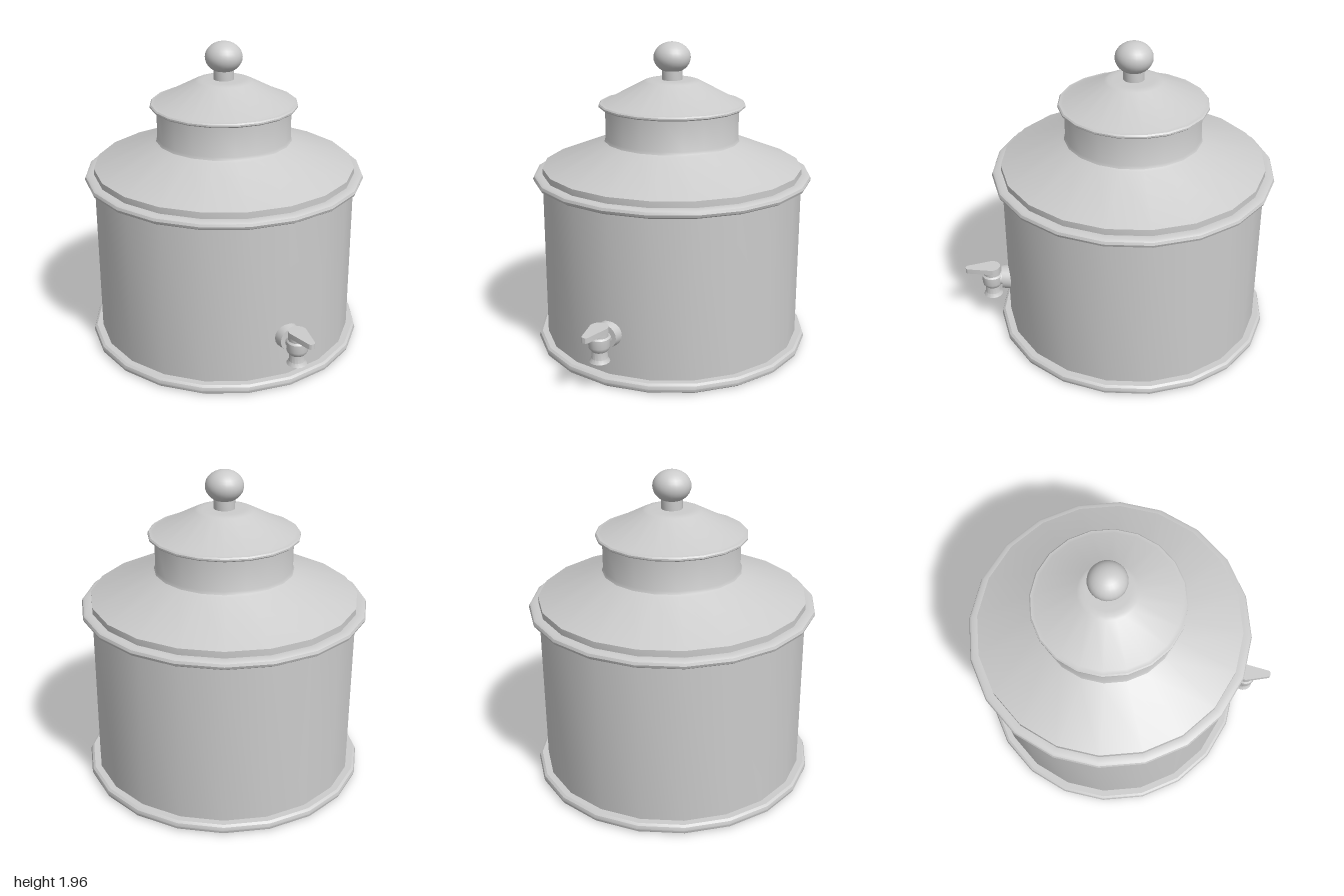
import * as THREE from 'three';
import { toCreasedNormals } from 'three/addons/utils/BufferGeometryUtils.js';

const CENTRE_Z = -0.11;
const TAP_Z = 0.83;

export function createModel() {
  const model = new THREE.Group();
  model.name = 'drinkDispenser';
  const material = new THREE.MeshStandardMaterial({ color: 0xcccccc });

  const add = (name, geometry, x, y, z) => {
    const mesh = new THREE.Mesh(geometry, material);
    mesh.name = name;
    mesh.position.set(x, y, z);
    model.add(mesh);
    return mesh;
  };

  // Turned part from [radius, height] pairs, with sharp profile edges
  const turned = (name, profile, sides, z) => {
    const points = profile.map(([r, y]) => new THREE.Vector2(r, y));
    return add(name, toCreasedNormals(new THREE.LatheGeometry(points, sides), 0.6), 0, 0, z);
  };

  // Rounded band around the body
  const band = (y0, y1) => {
    const h = y1 - y0;
    return [[0.87, y0], [0.884, y0 + h * 0.18], [0.89, y0 + h * 0.5], [0.884, y0 + h * 0.82], [0.87, y1]];
  };

  // Body, shoulder and neck
  turned('body', [
    [0, 0], ...band(0, 0.06),
    [0.83, 0.06], [0.83, 1.09], ...band(1.09, 1.14),
    [0.83, 1.14], [0.83, 1.18],
    [0.45, 1.332], [0.433, 1.342], [0.425, 1.36], [0.425, 1.56],
  ], 20, CENTRE_Z);

  // Lid with a thin rim and a short knob stem
  turned('lid', [
    [0, 1.555], [0.458, 1.555], [0.466, 1.562], [0.466, 1.572], [0.458, 1.58], [0.435, 1.582],
    [0.18, 1.716], [0.16, 1.723], [0.13, 1.725], [0.065, 1.725], [0.065, 1.785],
  ], 20, CENTRE_Z);

  // Knob
  const knob = add('knob', new THREE.SphereGeometry(0.117, 24, 16), 0, 1.864, CENTRE_Z);
  knob.scale.y = 0.83;

  // Tap flange and the pipe behind the spout
  const flange = new THREE.CylinderGeometry(0.075, 0.083, 0.065, 20).rotateX(Math.PI / 2);
  add('tapFlange', toCreasedNormals(flange, 0.6), 0, 0.328, 0.7325);
  const pipe = new THREE.CylinderGeometry(0.045, 0.045, 0.11, 16).rotateX(Math.PI / 2);
  add('tapPipe', toCreasedNormals(pipe, 0.6), 0, 0.32, 0.775);

  // Spout, hollow at the outlet
  turned('tapSpout', [
    [0, 0.25], [0.04, 0.25], [0.045, 0.2], [0.063, 0.2], [0.05, 0.222], [0.048, 0.268],
    [0.062, 0.285], [0.066, 0.3], [0.066, 0.352], [0.056, 0.362], [0.056, 0.388], [0, 0.388],
  ], 16, TAP_Z);

  // Lever: round head tapering to a narrow tip
  const outline = new THREE.Shape();
  outline.moveTo(0.055, 0.01);
  outline.lineTo(0.022, 0.155);
  outline.quadraticCurveTo(0.018, 0.17, 0, 0.17);
  outline.quadraticCurveTo(-0.018, 0.17, -0.022, 0.155);
  outline.lineTo(-0.055, 0.01);
  outline.absarc(0, 0, 0.057, Math.PI, Math.PI * 2, false);
  const lever = new THREE.ExtrudeGeometry(outline, { depth: 0.034, bevelEnabled: false, curveSegments: 8 });
  lever.rotateX(Math.PI / 2);
  add('tapLever', toCreasedNormals(lever, 0.6), 0, 0.419, TAP_Z);

  return model;
}
